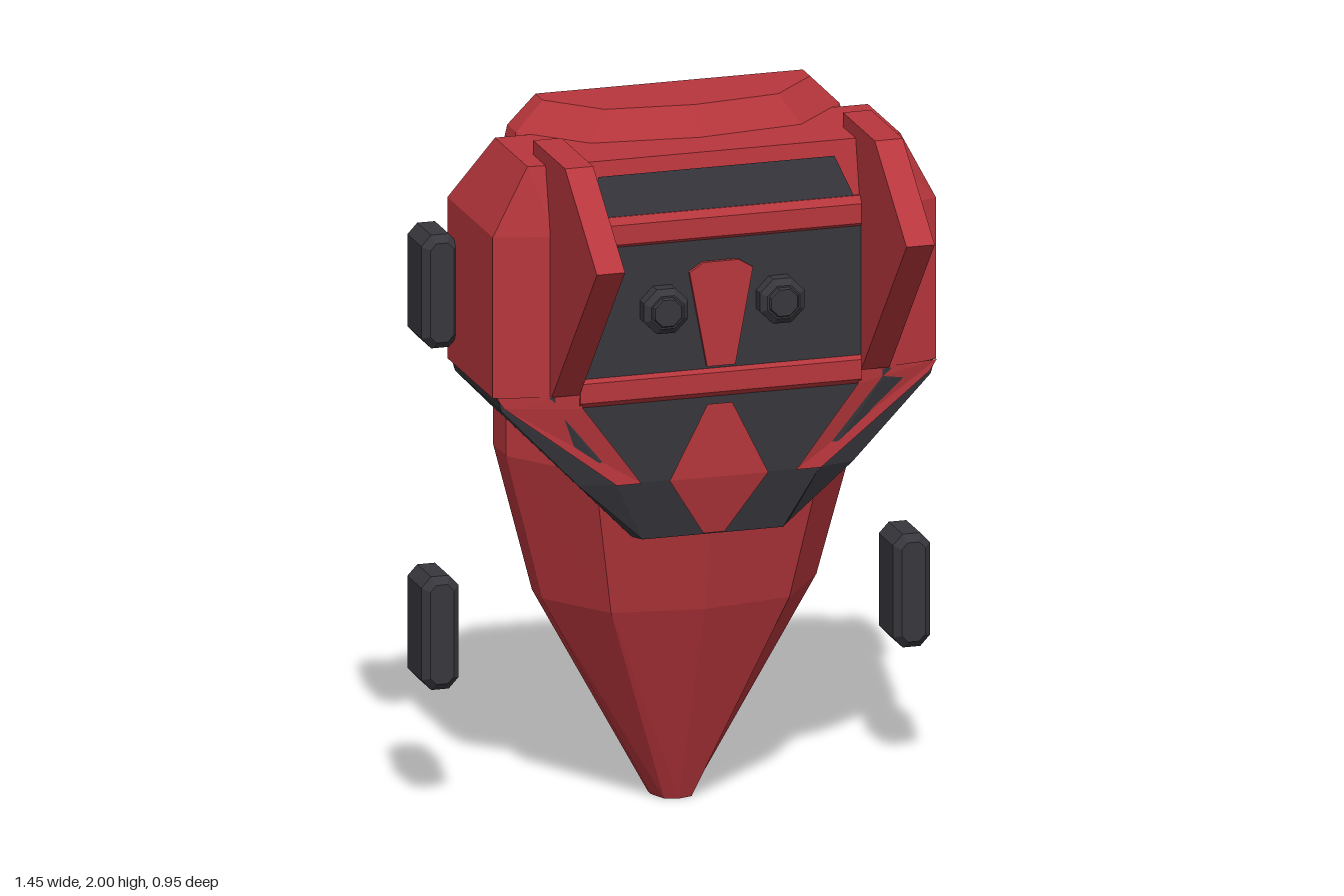
import * as THREE from 'three';

const red = new THREE.MeshStandardMaterial({ color: 0xb7363c });
red.name = 'red';
const dark = new THREE.MeshStandardMaterial({ color: 0x37373d });
dark.name = 'charcoal';

const BACK = -0.39;

function flat(geo) {
  const g = geo.index ? geo.toNonIndexed() : geo;
  g.computeVertexNormals();
  return g;
}

function fromTriangles(tris) {
  const g = new THREE.BufferGeometry();
  g.setAttribute('position', new THREE.Float32BufferAttribute(tris.flat(), 3));
  return flat(g);
}

// Skin between mirrored cross-sections: { y, pts: [[x, z], ...] }, right half listed back to front
function loft(sections) {
  const rings = sections.map(({ y, pts }) => {
    const half = pts.map(([x, z]) => [x, y, z]);
    const other = pts.filter(([x]) => x > 0).reverse().map(([x, z]) => [-x, y, z]);
    return [...half, ...other];
  });
  const tris = [];
  const n = rings[0].length;
  for (let s = 0; s < rings.length - 1; s++) {
    const a = rings[s], b = rings[s + 1];
    for (let i = 0; i < n; i++) {
      const j = (i + 1) % n;
      tris.push(a[i], b[i], b[j], a[i], b[j], a[j]);
    }
  }
  const bottom = rings[0], top = rings[rings.length - 1];
  for (let i = 1; i < n - 1; i++) {
    tris.push(bottom[0], bottom[i], bottom[i + 1], top[0], top[i + 1], top[i]);
  }
  return fromTriangles(tris);
}

// Convex painted face turned towards the front
function facePlate(points) {
  let area = 0;
  points.forEach(([x, y], i) => {
    const [x2, y2] = points[(i + 1) % points.length];
    area += x * y2 - x2 * y;
  });
  const p = area < 0 ? [...points].reverse() : points;
  const tris = [];
  for (let i = 1; i < p.length - 1; i++) tris.push(p[0], p[i], p[i + 1]);
  return fromTriangles(tris);
}

function extrude(points, depth, bevel = 0) {
  const shape = new THREE.Shape(points.map(([x, y]) => new THREE.Vector2(x, y)));
  return flat(new THREE.ExtrudeGeometry(shape, {
    depth, bevelEnabled: bevel > 0, bevelThickness: bevel, bevelSize: bevel, bevelOffset: -bevel, bevelSegments: 1,
  }));
}

export function createModel() {
  const model = new THREE.Group();
  model.name = 'shieldBody';
  const add = (name, geo, mat, x = 0, y = 0, z = 0) => {
    const m = new THREE.Mesh(geo, mat);
    m.name = name;
    m.position.set(x, y, z);
    model.add(m);
    return m;
  };

  // Tapered hull with a flat back: [y, half width, front z]
  const hull = [[0, 0.06, -0.3], [0.6, 0.39, -0.07], [1.02, 0.5, 0.025], [1.75, 0.5, 0.0], [1.92, 0.46, -0.115], [2, 0.38, -0.16]];
  add('hull', loft(hull.map(([y, w, zf]) => {
    const d = zf - BACK;
    return { y, pts: [[w, BACK], [w, BACK + 0.28 * d], [0.65 * w, BACK + 0.87 * d], [0, zf]] };
  })), red);

  // Wide upper block with bevelled top
  add('torso', loft([
    { y: 1.275, pts: [[0.63, BACK], [0.63, 0.015], [0.47, 0.06]] },
    { y: 1.73, pts: [[0.63, BACK], [0.63, 0.015], [0.47, 0.06]] },
    { y: 1.92, pts: [[0.53, -0.28], [0.53, 0.01], [0.44, 0.02]] },
  ]), red);

  // Dark belly tapering down over the hull
  add('belly', loft([
    { y: 0.835, pts: [[0.22, BACK + 0.004], [0.22, -0.03], [0.2, 0.002]] },
    { y: 1.01, pts: [[0.39, BACK + 0.004], [0.39, 0.025], [0.29, 0.048]] },
    { y: 1.24, pts: [[0.61, BACK + 0.004], [0.61, 0.03], [0.46, 0.058]] },
    { y: 1.275, pts: [[0.62, BACK + 0.004], [0.62, 0.03], [0.47, 0.06]] },
  ]), dark);

  // Red diamond on the belly, split along the crease
  add('diamondUpper', facePlate([[-0.035, 1.22, 0.065], [0.035, 1.22, 0.065], [0.14, 1.01, 0.056], [-0.14, 1.01, 0.056]]), red);
  add('diamondLower', facePlate([[-0.14, 1.01, 0.056], [0.14, 1.01, 0.056], [0.03, 0.84, 0.011], [-0.03, 0.84, 0.011]]), red);

  // Chest panel, window and crossbars
  add('chestPanel', new THREE.BoxGeometry(0.8, 0.37, 0.008), dark, 0, 1.505, 0.062);
  add('window', facePlate([[-0.385, 1.765, 0.058], [0.385, 1.765, 0.058], [0.335, 1.88, 0.034], [-0.335, 1.88, 0.034]]), dark);
  for (const [name, y] of [['lowerBar', 1.285], ['upperBar', 1.725]]) {
    const bar = extrude([[-0.045, -0.045], [0.01, -0.045], [0.024, -0.03], [0.024, 0.025], [0.01, 0.045], [-0.045, 0.045]], 0.8);
    bar.rotateY(-Math.PI / 2);
    bar.scale(-1, 1, 1);
    // Rebuild as a turn that keeps the profile facing forward
    bar.scale(-1, 1, 1);
    add(name, bar, red, 0.4, y, 0.05);
  }
  add('nosePiece', extrude([[-0.04, 1.33], [0.04, 1.33], [0.09, 1.6], [0.05, 1.625], [-0.05, 1.625], [-0.09, 1.6]], 0.022), red, 0, 0, 0.055);

  const finShape = [[0.475, 1.74], [0.19, 1.96], [-0.095, 1.96], [-0.095, 1.85], [0.0, 1.28], [0.07, 1.28]];
  const wheelShape = [[-0.025, -0.16], [0.025, -0.16], [0.053, -0.13], [0.053, 0.13], [0.025, 0.16], [-0.025, 0.16], [-0.053, 0.13], [-0.053, -0.13]];

  for (const [side, s] of [['left', 1], ['right', -1]]) {
    // Red flank stripe running down the belly
    add(side + 'BellyStripe', facePlate([
      [0.625, 1.28, 0.036], [0.4, 1.28, 0.07], [0.39, 1.24, 0.069], [0.22, 1.01, 0.056], [0.29, 1.01, 0.056], [0.605, 1.25, 0.038],
    ].map(([x, y, z]) => [s * x, y, z])), red);

    // Forward-pointing fin
    const fin = extrude(finShape, 0.08);
    fin.rotateY(-Math.PI / 2);
    add(side + 'Fin', fin, red, s * 0.44 + 0.04);

    // Eight-sided knob with chamfered rim and raised cap
    const knob = [['KnobBase', 0.068, 0.068, 0.045, 0.08], ['KnobRim', 0.05, 0.068, 0.014, 0.1095], ['KnobCap', 0.04, 0.045, 0.008, 0.12]];
    for (const [part, r1, r2, h, z] of knob) {
      const g = new THREE.CylinderGeometry(r1, r2, h, 8);
      g.rotateY(Math.PI / 8);
      g.rotateX(Math.PI / 2);
      add(side + part, flat(g), dark, s * 0.165, 1.505, z);
    }

    // Chamfered wheels
    for (const [part, y] of [['UpperWheel', 1.485], ['LowerWheel', 0.52]]) {
      add(side + part, extrude(wheelShape, 0.125, 0.02), dark, s * 0.67, y, -0.456);
    }
  }
  return model;
}
